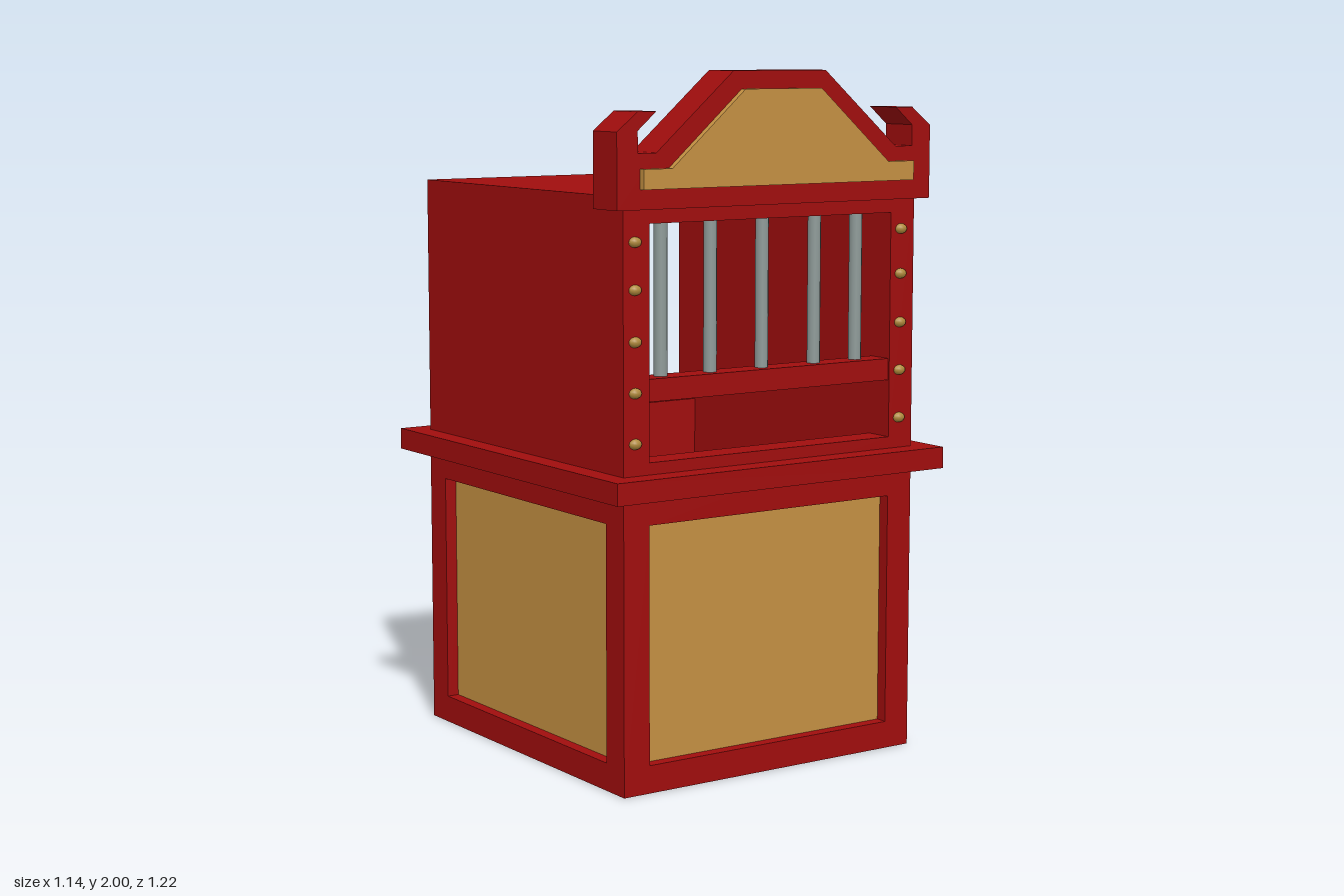
import * as THREE from 'three';

const mat = (name, color) => {
  const m = new THREE.MeshStandardMaterial({ color });
  m.name = name;
  return m;
};

export function createModel() {
  const red = mat('red paint', 0xa00d0d);
  const tan = mat('tan panel', 0xc49042);
  const gold = mat('gold stud', 0xb08a3c);
  const steel = mat('grey steel', 0x8e9a98);
  const model = new THREE.Group();
  model.name = 'booth';

  const add = (name, geo, material, parent = model) => {
    const mesh = new THREE.Mesh(geo, material);
    mesh.name = name;
    parent.add(mesh);
    return mesh;
  };
  // box given by its lower and upper limits on each axis
  const box = (name, material, x0, x1, y0, y1, z0, z1, parent) =>
    add(name, new THREE.BoxGeometry(x1 - x0, y1 - y0, z1 - z0), material, parent)
      .position.set((x0 + x1) / 2, (y0 + y1) / 2, (z0 + z1) / 2);
  const rect = (x0, x1, y0, y1) => [[x0, y0], [x1, y0], [x1, y1], [x0, y1]];
  const vec = pts => pts.map(p => new THREE.Vector2(...p));
  // plate with holes, extruded from z0 to z1
  const plate = (outline, holes, z0, z1) => {
    const shape = new THREE.Shape(vec(outline));
    holes.forEach(h => shape.holes.push(new THREE.Path(vec(h))));
    return new THREE.ExtrudeGeometry(shape, { depth: z1 - z0, bevelEnabled: false }).translate(0, 0, z0);
  };

  const W = 0.505, D = 0.54, H = 1.665;     // body half width, half depth, height
  const IW = 0.42, ID = 0.45, REC = 0.04;   // inner half sizes, panel recess
  const P0 = 0.08, P1 = 0.76;               // panel bottom and top
  const window_ = rect(-IW, IW, 0.935, 1.59);
  const lower = rect(-IW, IW, P0, P1);

  // front and back walls: outer frame, inner lining and recessed panel
  for (const [name, turn] of [['front', 0], ['back', Math.PI]]) {
    const wall = new THREE.Group();
    wall.name = name + 'Wall';
    wall.rotation.y = turn;
    model.add(wall);
    add(name + 'Frame', plate(rect(-W, W, 0, H), [window_, lower], D - REC, D), red, wall);
    add(name + 'Lining', plate(rect(-W, W, 0, H), [window_], ID, D - REC), red, wall);
    box(name + 'Panel', tan, -IW, IW, P0, P1, D - REC, D - REC + 0.004, wall);
  }

  // side walls between the front and back walls
  for (const [name, turn] of [['left', 0], ['right', Math.PI]]) {
    const wall = new THREE.Group();
    wall.name = name + 'Wall';
    wall.rotation.y = turn;
    model.add(wall);
    box(name + 'Lining', red, IW, W - REC, 0, H, -ID, ID, wall);
    box(name + 'BottomRail', red, W - REC, W, 0, P0, -ID, ID, wall);
    box(name + 'UpperWall', red, W - REC, W, P1, H, -ID, ID, wall);
    box(name + 'Panel', tan, W - REC, W - REC + 0.004, P0, P1, -ID, ID, wall);
  }

  // roof, floor and the counter running round the outside
  box('roof', red, -IW, IW, 1.59, H, -ID, ID);
  box('floor', red, -IW, IW, 0, P0, -ID, ID);
  const counter = plate(rect(-0.57, 0.57, -0.61, 0.61), [rect(-0.46, 0.46, -0.495, 0.495)], 0, 0.063);
  add('counter', counter.rotateX(-Math.PI / 2), red).position.y = 0.838;

  // window crossbar and upright bars
  box('crossbar', red, -IW, IW, 1.102, 1.165, 0.455, 0.535);
  for (const x of [-0.35, -0.183, -0.005, 0.18, 0.33]) {
    add('windowBar', new THREE.CylinderGeometry(0.019, 0.019, 0.425, 12), steel).position.set(x, 1.3775, 0.49);
  }

  // studs on the front posts
  for (const x of [-0.467, 0.457]) {
    for (const y of [0.99, 1.13, 1.27, 1.412, 1.542]) {
      const stud = add('stud', new THREE.SphereGeometry(0.02, 12, 8), gold);
      stud.scale.set(1, 0.75, 0.7);
      stud.position.set(x, y, D);
    }
  }

  // sign board with hooked ends, and its raised face; right half mirrored
  const mirror = half => [...half, ...half.map(([x, y]) => [-x, y]).reverse()];
  const board = mirror([[0.54, 1.63], [0.54, 1.84], [0.473, 1.893], [0.413, 1.893], [0.473, 1.842],
    [0.473, 1.782], [0.413, 1.782], [0.158, 2]]);
  const face = mirror([[0.466, 1.685], [0.466, 1.74], [0.373, 1.74], [0.131, 1.95]]);
  add('signBoard', plate(board, [], 0.452, 0.57), red).position.x = -0.004;
  add('signFace', plate(face, [], 0.57, 0.589), tan).position.x = -0.004;

  return model;
}
